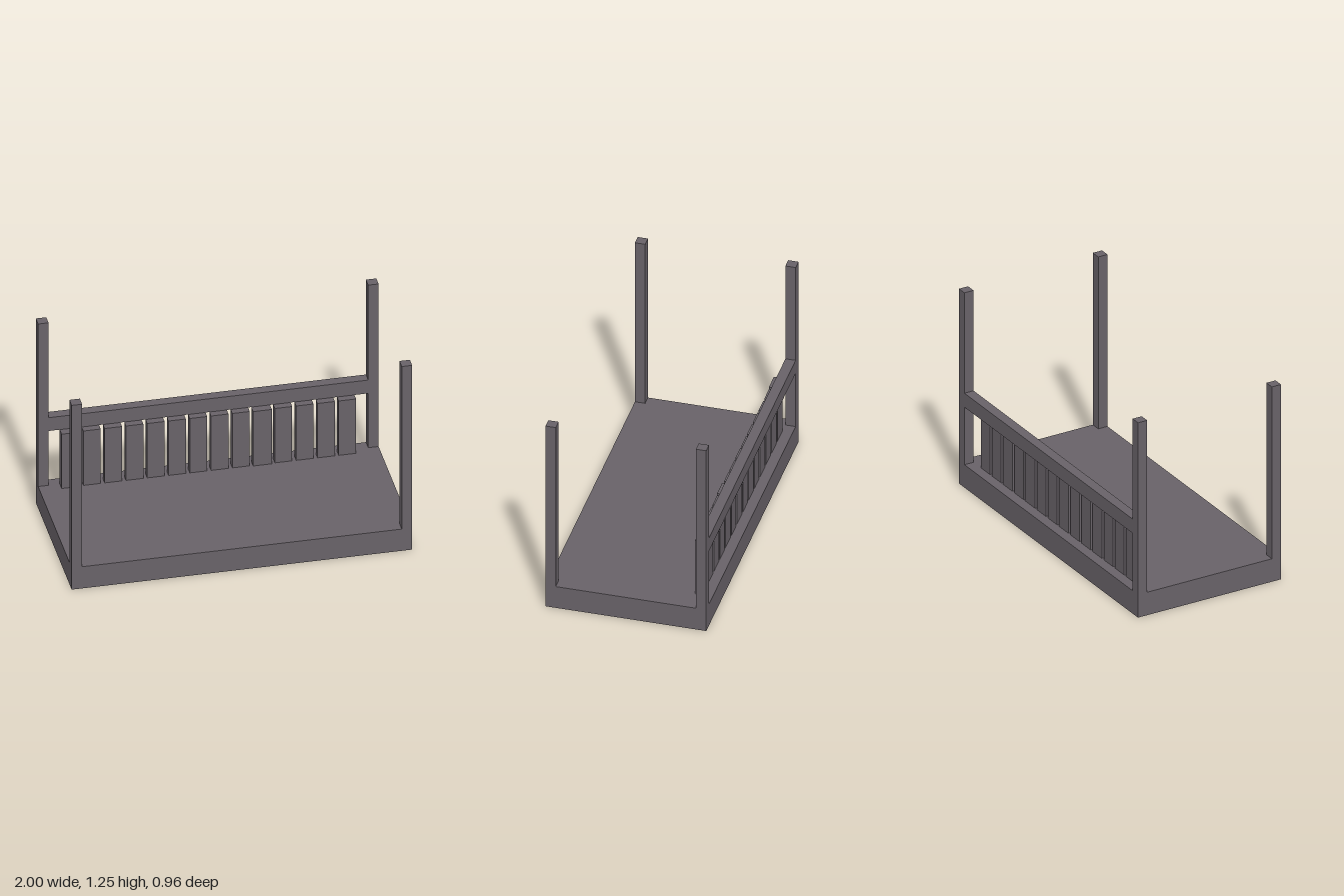
import * as THREE from 'three';

export function createModel() {
  const model = new THREE.Group();
  const material = new THREE.MeshStandardMaterial({ color: 0x686268 });

  // Box given by its lower and upper corner
  function addBox(name, [x0, y0, z0], [x1, y1, z1]) {
    const mesh = new THREE.Mesh(new THREE.BoxGeometry(x1 - x0, y1 - y0, z1 - z0), material);
    mesh.position.set((x0 + x1) / 2, (y0 + y1) / 2, (z0 + z1) / 2);
    mesh.name = name;
    model.add(mesh);
  }

  const halfW = 1, halfD = 0.478, baseTop = 0.147, post = 0.061, postTop = 1.25;
  const railBottom = 0.516, railTop = 0.606;
  const innerX = halfW - post, innerZ = halfD - post;

  // Solid platform
  addBox('base', [-halfW, 0, -halfD], [halfW, baseTop, halfD]);

  // Four corner posts
  for (const [side, sx] of [['Left', 1], ['Right', -1]]) {
    for (const [end, sz] of [['front', 1], ['back', -1]]) {
      const x = sx > 0 ? innerX : -halfW;
      const z = sz > 0 ? innerZ : -halfD;
      addBox(end + side + 'Post', [x, baseTop, z], [x + post, postTop, z + post]);
    }
  }

  // Back rail between the posts
  addBox('backRail', [-innerX, railBottom, -halfD], [innerX, railTop, -innerZ]);

  // Row of slats just in front of the rail; two are slightly larger
  for (let i = 0; i < 14; i++) {
    const large = i === 0 || i === 9;
    const x = -0.818 + i * 0.125;
    const half = large ? 0.055 : 0.051;
    const front = large ? -0.367 : -0.373;
    addBox('slat' + (i + 1), [x - half, baseTop, -innerZ], [x + half, railBottom, front]);
  }
  return model;
}
